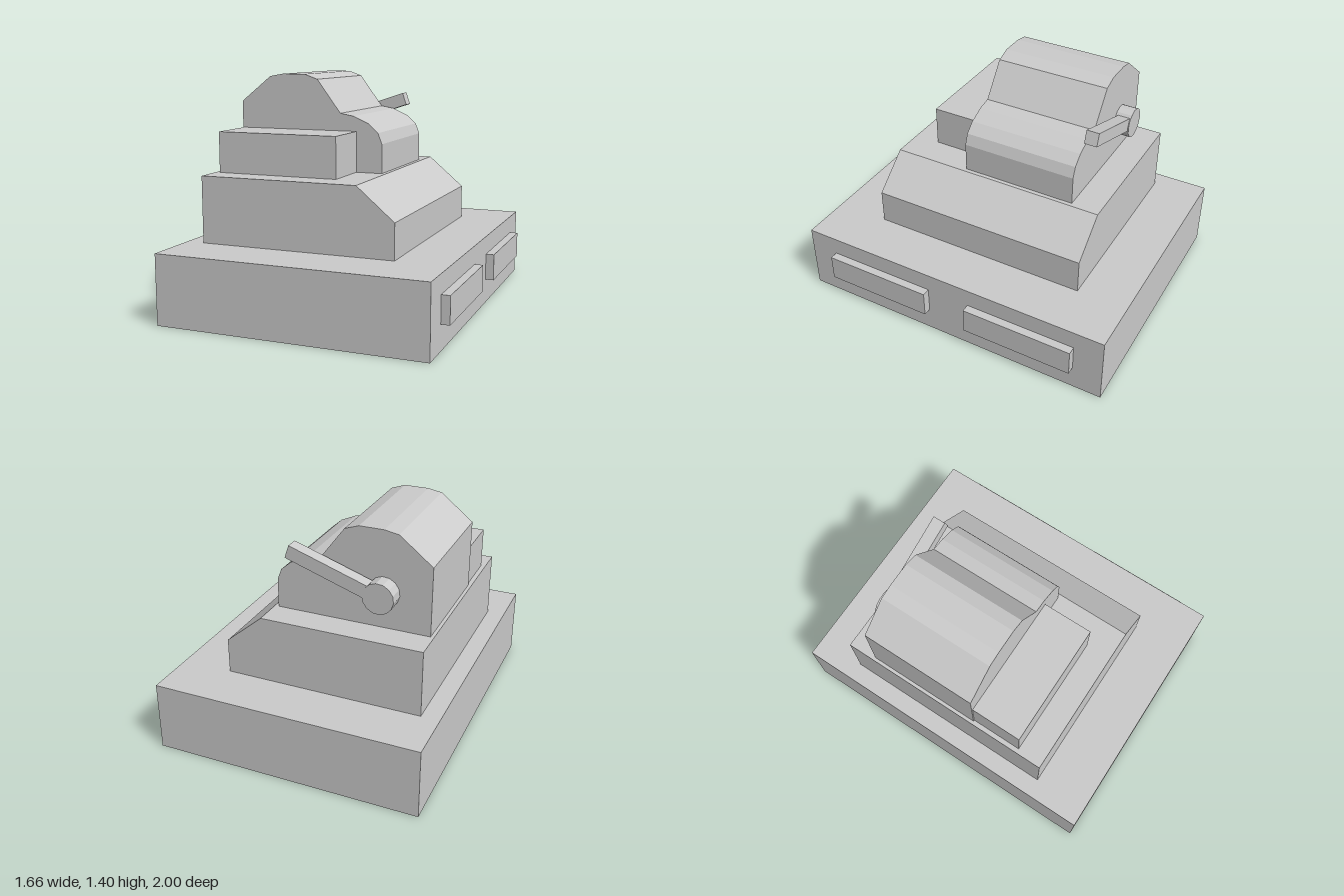
import * as THREE from 'three';

const material = new THREE.MeshStandardMaterial({
  color: 0xcccccc, flatShading: true, side: THREE.DoubleSide,
});

// Extrude an x/y profile from z0 to z1
function prism(points, z0, z1) {
  const shape = new THREE.Shape(points.map(([x, y]) => new THREE.Vector2(x, y)));
  const geo = new THREE.ExtrudeGeometry(shape, { depth: z1 - z0, bevelEnabled: false });
  return geo.translate(0, 0, z0);
}

const rect = (x0, x1, y0, y1) => [[x0, y0], [x1, y0], [x1, y1], [x0, y1]];

// Drop the faces lying flat on height y, leaving a hollow shell
function openBottom(geo, y) {
  const p = geo.attributes.position.array;
  const kept = [];
  for (let i = 0; i < p.length; i += 9) {
    const flat = [1, 4, 7].every((k) => Math.abs(p[i + k] - y) < 1e-4);
    if (!flat) kept.push(...p.slice(i, i + 9));
  }
  const out = new THREE.BufferGeometry();
  out.setAttribute('position', new THREE.Float32BufferAttribute(kept, 3));
  out.computeVertexNormals();
  return out;
}

export function createModel() {
  const model = new THREE.Group();
  const add = (name, geo, parent = model) => {
    const mesh = new THREE.Mesh(geo, material);
    mesh.name = name;
    parent.add(mesh);
    return mesh;
  };

  // Hollow base
  add('base', openBottom(prism(rect(-0.835, 0.78, 0, 0.42), -1, 1), 0));

  // Drawer fronts on the +x side
  for (const side of [-1, 1]) {
    const drawer = add('drawerFront', new THREE.BoxGeometry(0.05, 0.16, 0.685));
    drawer.position.set(0.805, 0.228, side * 0.478);
  }

  // Middle tier with a sloped edge; its open skirt reaches down inside the base
  add('middleTier', openBottom(prism([
    [-0.725, 0.28], [0.47, 0.28], [0.47, 0.63], [0.245, 0.82], [-0.725, 0.82],
  ], -0.69, 0.665), 0.28));

  // Curved upper housing
  add('upperHousing', prism([
    [-0.705, 0.82], [0.22, 0.82], [0.22, 0.995], [0.195, 1.06], [0.135, 1.113],
    [0.04, 1.155], [-0.045, 1.17], [-0.195, 1.37], [-0.28, 1.4],
    [-0.425, 1.4], [-0.51, 1.385], [-0.705, 1.23],
  ], -0.515, 0.195));

  // Block in front of the housing
  add('frontBlock', prism(rect(-0.697, 0.058, 0.82, 1.065), 0.195, 0.505));

  // Crank on the back: round hub and slanted arm
  const crank = new THREE.Group();
  crank.name = 'crank';
  crank.position.set(-0.43, 1.037, -0.563);
  crank.rotation.z = 0.325;
  model.add(crank);
  const hub = add('crankHub', new THREE.CylinderGeometry(0.092, 0.092, 0.096, 14), crank);
  hub.rotation.x = Math.PI / 2;
  const arm = add('crankArm', new THREE.BoxGeometry(0.53, 0.08, 0.078), crank);
  arm.position.set(0.305, 0, -0.004);

  return model;
}
